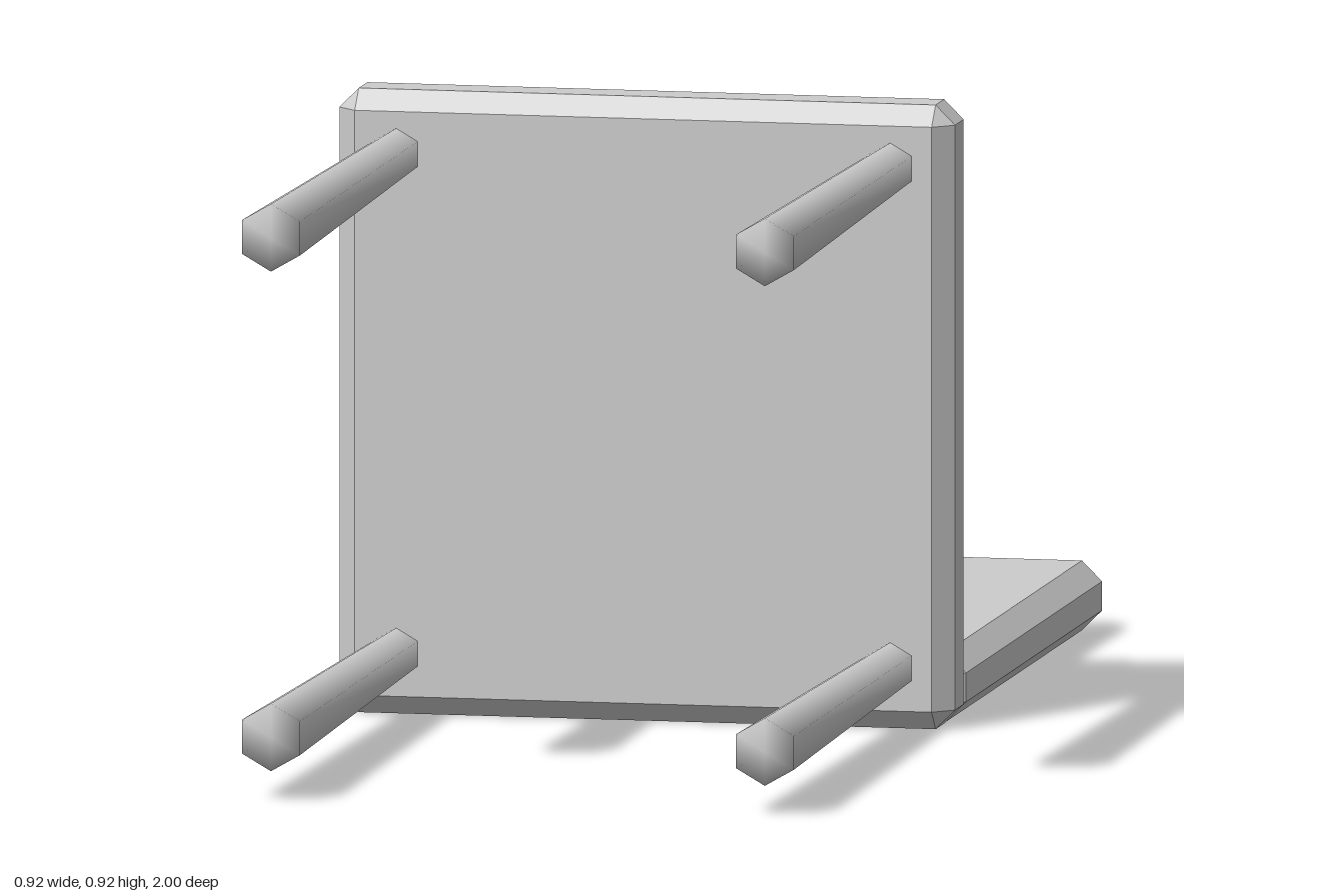
import * as THREE from 'three';
import { mergeVertices } from 'three/addons/utils/BufferGeometryUtils.js';
import { ConvexGeometry } from 'three/addons/geometries/ConvexGeometry.js';

// Box between two corners, with every edge and corner chamfered by c
function chamferedBox(min, max, c) {
  const centre = min.clone().add(max).multiplyScalar(0.5);
  const half = max.clone().sub(min).multiplyScalar(0.5);
  const points = [];
  for (const sx of [-1, 1]) for (const sy of [-1, 1]) for (const sz of [-1, 1]) {
    for (const axis of ['x', 'y', 'z']) {
      const p = half.clone().subScalar(c);
      p[axis] = half[axis];
      points.push(p.multiply(new THREE.Vector3(sx, sy, sz)).add(centre));
    }
  }
  return new ConvexGeometry(points);
}

// Tapered six-sided leg along z with normals smoothed over the ends
function legGeometry(zStart, zEnd) {
  const g = new THREE.CylinderGeometry(0.05, 0.037, zEnd - zStart, 6);
  g.rotateX(Math.PI / 2);
  g.translate(0, 0, (zStart + zEnd) / 2);
  g.deleteAttribute('normal');
  g.deleteAttribute('uv');
  const merged = mergeVertices(g, 1e-4);
  merged.computeVertexNormals();
  return merged;
}

export function createModel() {
  const group = new THREE.Group();
  group.name = 'tippedChair';
  const grey = new THREE.MeshStandardMaterial({ color: 0xcccccc });
  grey.name = 'light grey';

  const add = (geometry, name) => {
    const mesh = new THREE.Mesh(geometry, grey);
    mesh.name = name;
    group.add(mesh);
    return mesh;
  };

  // The chair lies on its back: seat upright, backrest on the floor
  add(chamferedBox(new THREE.Vector3(-0.46, 0, -0.012), new THREE.Vector3(0.46, 0.922, 0.107), 0.029), 'seat');
  add(chamferedBox(new THREE.Vector3(-0.46, 0, -1), new THREE.Vector3(0.46, 0.103, 0.03), 0.03), 'backrest');

  // Four legs pointing forward
  const leg = legGeometry(0.1, 1);
  for (const [side, x] of [['Right', -0.369], ['Left', 0.369]]) {
    for (const [row, y] of [['lower', 0.093], ['upper', 0.831]]) {
      add(leg, `${row}${side}Leg`).position.set(x, y, 0);
    }
  }
  return group;
}
